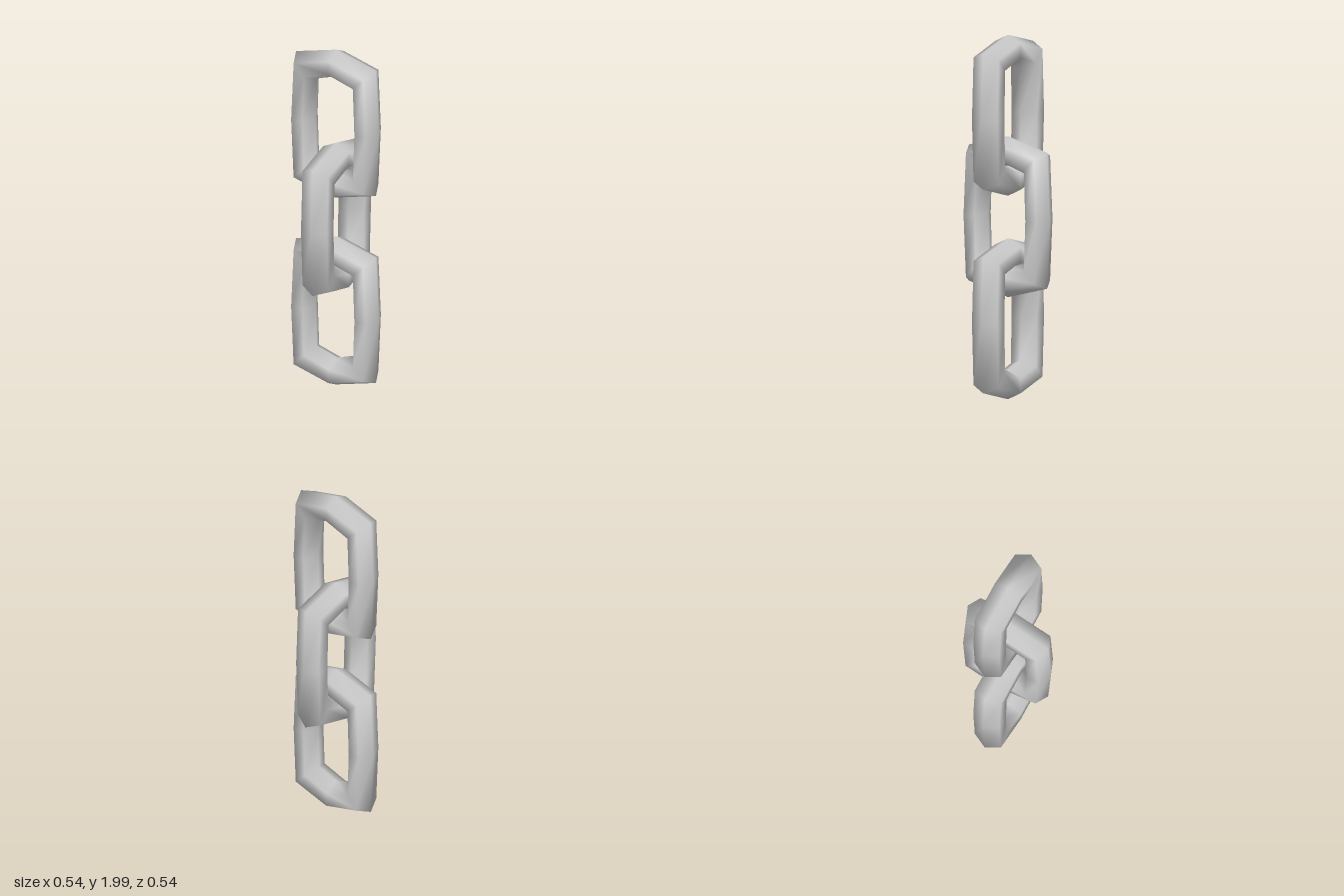
import * as THREE from 'three';

const HALF_WIDTH = 0.081;

// One quarter of the link as [outer x, outer y, inner x, inner y], mirrored into eight stations
const TOP = [0, 0.44, 0, 0.28];
const CORNER = [0.25, 0.372, 0.121, 0.24];
const SIDE = [0.268, 0, 0.128, 0];
const mirror = ([a, b, c, d], sx, sy) => [a * sx, b * sy, c * sx, d * sy];

function linkGeometry() {
  // Stations run counter-clockwise from the top
  const stations = [
    TOP, mirror(CORNER, -1, 1), mirror(SIDE, -1, 1), mirror(CORNER, -1, -1),
    mirror(TOP, 1, -1), mirror(CORNER, 1, -1), SIDE, CORNER,
  ];
  // Six-sided section: [fraction from outer ridge to inner ridge, z]
  const section = [
    [0, 0], [0.25, HALF_WIDTH], [0.75, HALF_WIDTH],
    [1, 0], [0.75, -HALF_WIDTH], [0.25, -HALF_WIDTH],
  ];
  const n = stations.length, m = section.length;
  const positions = [], index = [];
  stations.forEach(([ox, oy, ix, iy], i) => {
    section.forEach(([t, z], j) => {
      positions.push(ox + (ix - ox) * t, oy + (iy - oy) * t, z);
      const next = ((i + 1) % n) * m, k = (j + 1) % m;
      const a = i * m + j, b = i * m + k, c = next + j, d = next + k;
      index.push(a, c, b, b, c, d);
    });
  });
  const geometry = new THREE.BufferGeometry();
  geometry.setAttribute('position', new THREE.Float32BufferAttribute(positions, 3));
  geometry.setIndex(index);
  geometry.computeVertexNormals();
  return geometry;
}

export function createModel() {
  const group = new THREE.Group();
  group.name = 'chain';
  const geometry = linkGeometry();
  const material = new THREE.MeshStandardMaterial({ color: 0xcccccc });

  // Three interlocked links, the middle one turned a quarter turn
  const links = [['topLink', 1.56, 0], ['middleLink', 1.006, Math.PI / 2], ['bottomLink', 0.448, 0]];
  for (const [name, y, turn] of links) {
    const link = new THREE.Mesh(geometry, material);
    link.name = name;
    link.position.y = y;
    link.rotation.y = turn;
    group.add(link);
  }
  return group;
}
